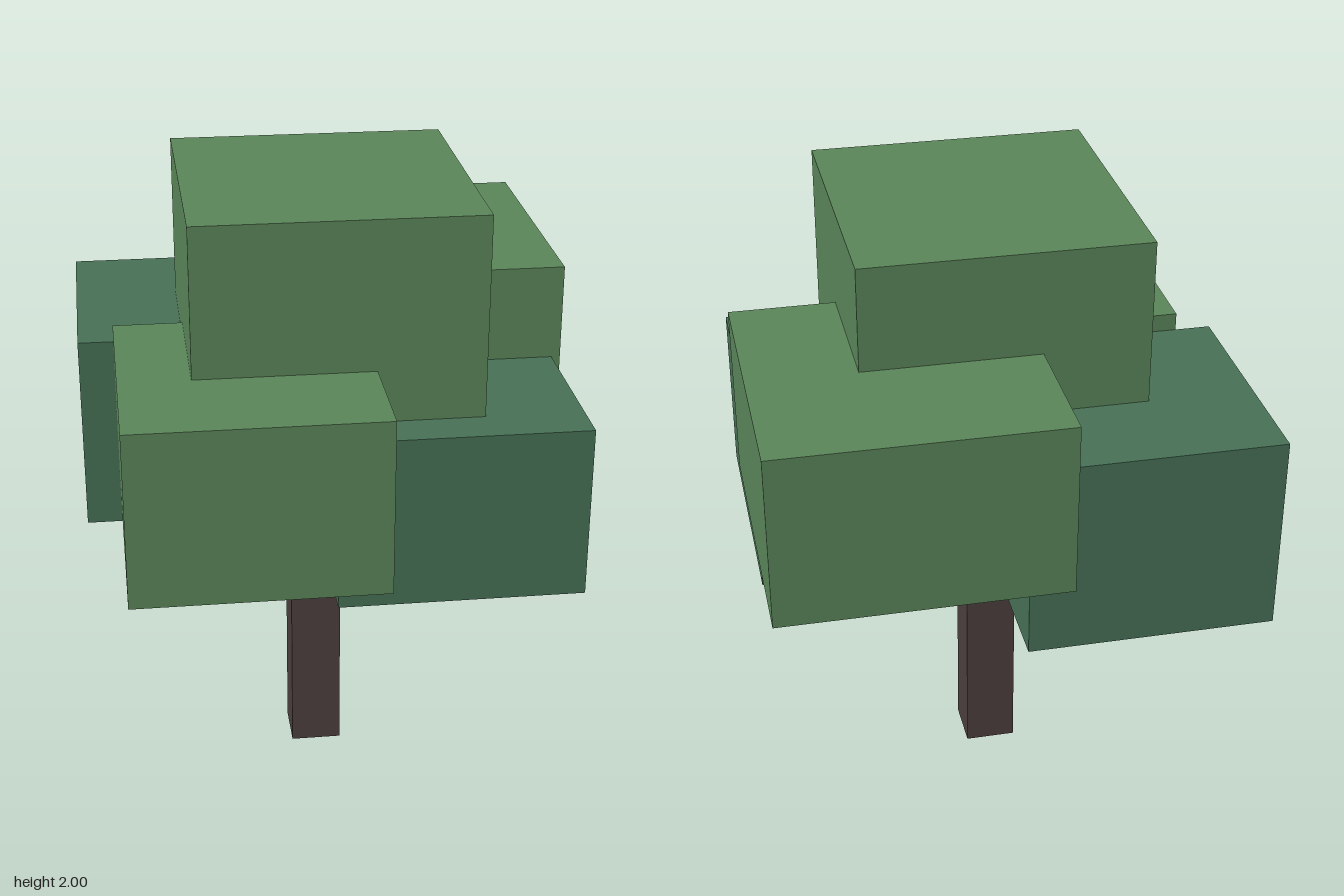
import * as THREE from 'three';

export function createModel() {
  const tree = new THREE.Group();
  tree.name = 'blockTree';

  const material = (name, color) => {
    const m = new THREE.MeshStandardMaterial({ color });
    m.name = name;
    return m;
  };
  const lightLeaf = material('lightLeafGreen', 0x5c875b);
  const darkLeaf = material('darkLeafGreen', 0x487257);
  const bark = material('barkBrown', 0x4e4040);

  // Box spanning the given [min, max] ranges
  const block = (name, mat, [x0, x1], [y0, y1], [z0, z1]) => {
    const mesh = new THREE.Mesh(new THREE.BoxGeometry(x1 - x0, y1 - y0, z1 - z0), mat);
    mesh.name = name;
    mesh.position.set((x0 + x1) / 2, (y0 + y1) / 2, (z0 + z1) / 2);
    tree.add(mesh);
  };

  // Trunk, running up into the foliage
  block('trunk', bark, [-0.11, 0.053], [0, 1.2], [-0.082, 0.082]);

  // Upper and outer light foliage
  block('crownFoliage', lightLeaf, [-0.44, 0.435], [1.2, 2], [-0.412, 0.49]);
  block('frontFoliage', lightLeaf, [-0.657, 0.107], [0.99, 1.535], [0.027, 0.85]);
  block('backFoliage', lightLeaf, [-0.112, 0.765], [1.13, 1.675], [-0.85, 0.052]);

  // Lower dark foliage and the core that joins the clumps
  block('lowerFrontFoliage', darkLeaf, [-0.025, 0.737], [0.826, 1.372], [-0.19, 0.628]);
  block('lowerBackFoliage', darkLeaf, [-0.768, 0], [0.852, 1.48], [-0.742, 0.024]);
  block('coreFoliage', darkLeaf, [-0.35, 0.354], [1.047, 1.3], [-0.385, 0.38]);

  return tree;
}
